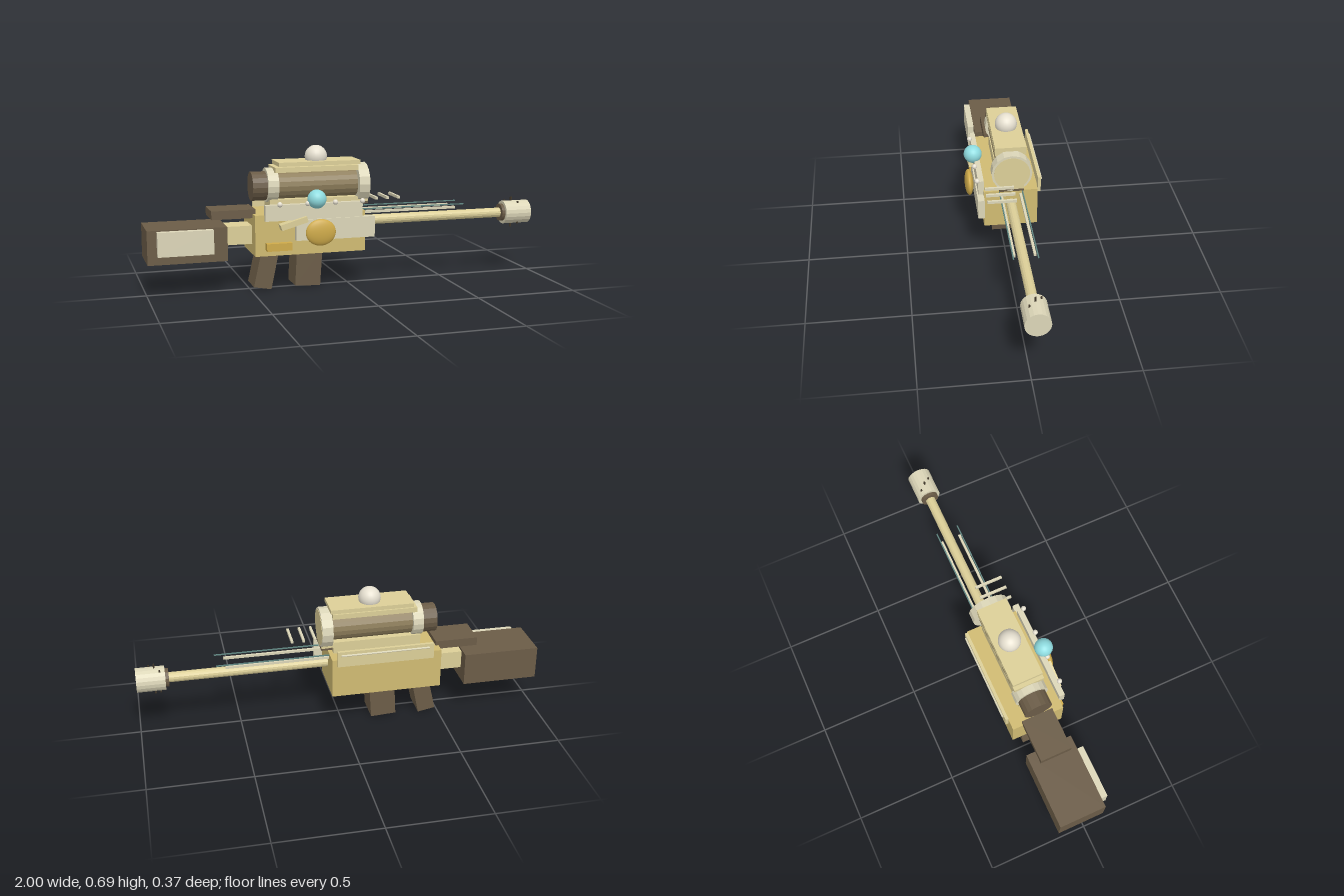
import * as THREE from 'three';

const AXIS_Z = -0.025; // shared centre plane of barrel and scope
const palette = {
  dark: 0x6b5c47, body: 0xd0bb72, tan: 0xdccf98, cream: 0xdcd6b8,
  bronze: 0x8f7f5c, gold: 0xcfab4a, teal: 0x5f8580, blue: 0x8fdce0, ivory: 0xe6e0d0, black: 0x3f3629,
};
const mats = {};
function mat(name, flat = true) {
  const key = name + flat;
  return mats[key] ??= new THREE.MeshStandardMaterial({ color: palette[name], flatShading: flat });
}

export function createModel() {
  const model = new THREE.Group();

  function add(name, geometry, color, flat = true) {
    const mesh = new THREE.Mesh(geometry, mat(color, flat));
    mesh.name = name;
    model.add(mesh);
    return mesh;
  }
  // Box given by its extents on each axis
  function box(name, color, x0, x1, y0, y1, z0, z1) {
    const mesh = add(name, new THREE.BoxGeometry(x1 - x0, y1 - y0, z1 - z0), color);
    mesh.position.set((x0 + x1) / 2, (y0 + y1) / 2, (z0 + z1) / 2);
    return mesh;
  }
  // Cylinder lying along x
  function tube(name, color, x0, x1, y, z, r, sides = 18) {
    const geo = new THREE.CylinderGeometry(r, r, x1 - x0, sides).rotateZ(-Math.PI / 2);
    const mesh = add(name, geo, color);
    mesh.position.set((x0 + x1) / 2, y, z);
    return mesh;
  }
  function ball(name, color, x, y, z, r, detail = 24) {
    const mesh = add(name, new THREE.SphereGeometry(r, detail, detail / 2 + 4), color, false);
    mesh.position.set(x, y, z);
    return mesh;
  }
  // Slanted grip: side outline extruded across z
  function grip(name, points) {
    const shape = new THREE.Shape(points.map(([x, y]) => new THREE.Vector2(x, y)));
    const geo = new THREE.ExtrudeGeometry(shape, { depth: 0.144, bevelEnabled: false });
    add(name, geo, 'dark').position.z = AXIS_Z - 0.072;
  }

  // Stock
  box('stock', 'dark', -1, -0.62, 0.165, 0.33, -0.147, 0.09);
  box('stockPlate', 'cream', -0.955, -0.69, 0.208, 0.325, 0.085, 0.122);
  box('stockNeck', 'tan', -0.63, -0.48, 0.23, 0.32, -0.085, 0.035);
  box('cheekRest', 'dark', -0.69, -0.475, 0.36, 0.402, -0.105, 0.055);

  // Receiver and its left-hand fittings
  box('receiver', 'body', -0.49, 0.06, 0.18, 0.38, -0.158, 0.109);
  box('triggerPlate', 'tan', -0.455, -0.295, 0.162, 0.182, -0.065, 0.015);
  box('sideRail', 'cream', -0.445, 0.04, 0.353, 0.43, 0.107, 0.135);
  box('sidePlate', 'cream', -0.295, 0.1, 0.253, 0.355, 0.109, 0.142);
  box('sideButton', 'gold', -0.44, -0.315, 0.208, 0.245, 0.109, 0.142);
  const lever = box('lever', 'tan', -0.375, -0.24, 0.326, 0.354, 0.109, 0.157);
  lever.rotation.z = 0.28;
  ball('sideDial', 'gold', -0.18, 0.293, 0.163, 1, 28).scale.set(0.075, 0.065, 0.022);
  ball('glowOrb', 'blue', -0.193, 0.452, 0.14, 0.046);
  for (let i = 0; i < 4; i++) ball('railStud', 'ivory', -0.375 + i * 0.1375, 0.433, 0.14, 0.013, 12);

  // Plate and rod on the far side
  box('backRail', 'tan', -0.445, 0.037, 0.352, 0.432, -0.177, -0.162);
  box('backRailBracket', 'body', -0.42, 0.01, 0.355, 0.375, -0.164, -0.155);
  tube('backRod', 'cream', -0.42, 0.02, 0.414, -0.181, 0.005, 8);

  // Grips
  grip('rearGrip', [[-0.487, 0.016], [-0.4, 0], [-0.362, 0.18], [-0.448, 0.19]]);
  grip('foreGrip', [[-0.28, 0.01], [-0.153, 0.003], [-0.14, 0.19], [-0.27, 0.19]]);

  // Barrel and muzzle
  tube('barrel', 'tan', 0.05, 0.87, 0.308, AXIS_Z, 0.025, 16);
  tube('muzzleCollar', 'dark', 0.843, 0.865, 0.308, AXIS_Z, 0.045);
  tube('muzzle', 'cream', 0.86, 1, 0.308, AXIS_Z, 0.06, 20);
  for (const i of [-1, 0, 1]) {
    const x = 0.91 + i * 0.025, z = AXIS_Z + i * 0.03, h = i ? 0.06 : 0.08;
    box('muzzlePin', 'black', x - 0.004, x + 0.004, 0.308 - h, 0.308 + h, z - 0.004, z + 0.004);
  }

  // Paired rods above the barrel
  for (const s of [-1, 1]) {
    const zi = AXIS_Z + s * 0.048, zo = AXIS_Z + s * 0.057;
    box('guideRod', 'cream', 0.04, 0.57, 0.351, 0.363, zi - 0.006, zi + 0.006);
    box('thinRod', 'teal', 0.04, 0.615, 0.371, 0.376, zo - 0.003, zo + 0.003);
  }
  // Rungs across the front
  for (const x of [0.12, 0.177, 0.235]) box('crossRod', 'cream', x - 0.006, x + 0.006, 0.43, 0.443, -0.032, 0.11);

  // Scope
  box('frontMount', 'tan', 0.04, 0.1, 0.412, 0.437, -0.085, 0.037);
  box('frontMountFoot', 'dark', 0.045, 0.1, 0.402, 0.414, -0.085, 0.037);
  box('scopeBed', 'tan', -0.4, 0.04, 0.375, 0.44, -0.085, 0.037);
  tube('scopeTube', 'bronze', -0.41, 0.06, 0.503, AXIS_Z, 0.068);
  tube('eyepiece', 'dark', -0.483, -0.4, 0.503, AXIS_Z, 0.071);
  tube('rearRing', 'cream', -0.41, -0.357, 0.507, AXIS_Z, 0.084);
  tube('frontRing', 'cream', 0.046, 0.1, 0.502, AXIS_Z, 0.1, 16);
  tube('lens', 'tan', 0.09, 0.102, 0.502, AXIS_Z, 0.088, 28);
  box('lowerTopPlate', 'tan', -0.375, 0.045, 0.573, 0.598, -0.101, 0.052);
  box('upperTopPlate', 'tan', -0.357, 0.055, 0.602, 0.622, -0.101, 0.052);
  box('plateSpacer', 'dark', -0.3, 0, 0.595, 0.605, -0.065, 0.015);
  ball('dome', 'ivory', -0.152, 0.64, AXIS_Z, 0.055);

  return model;
}
